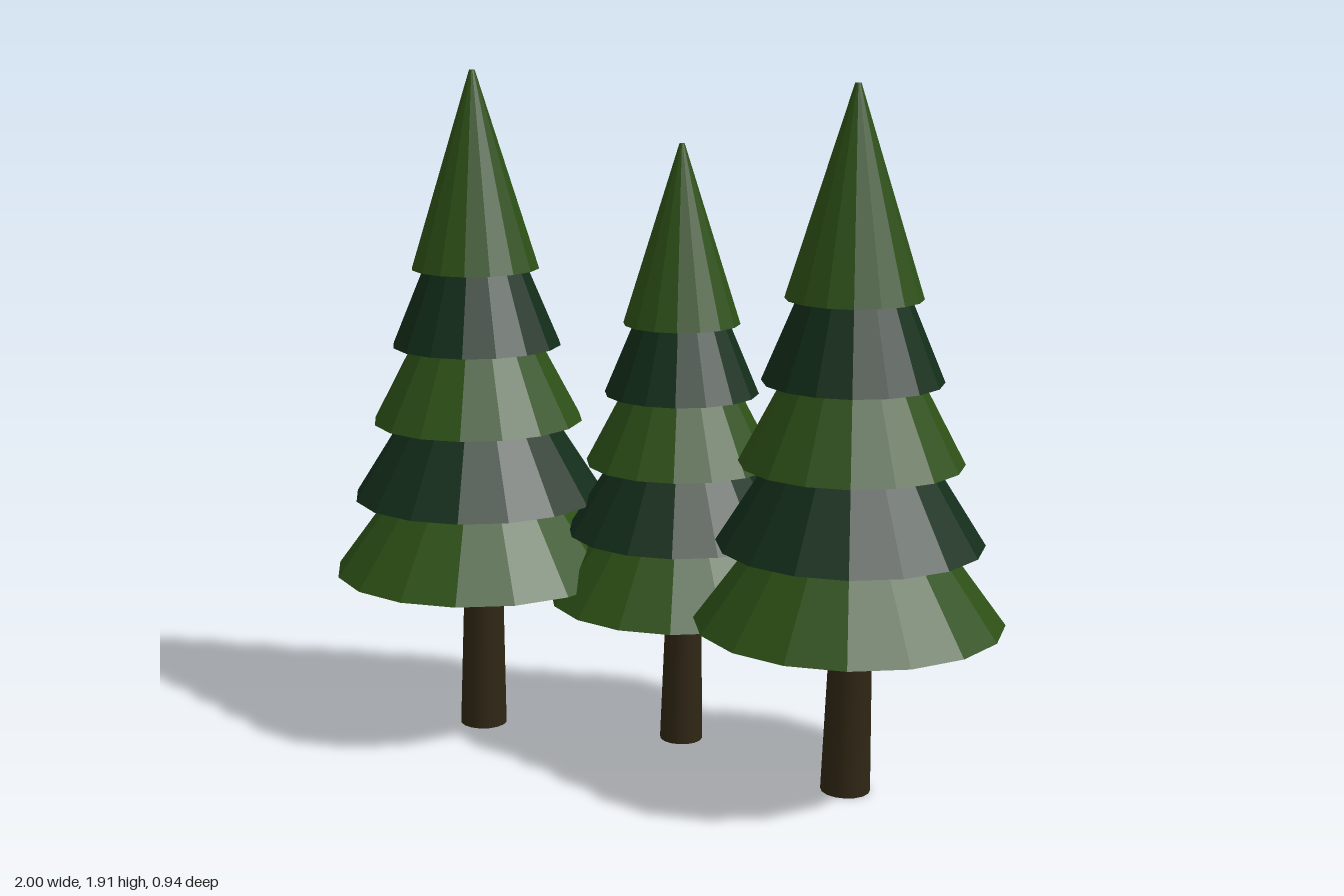
import * as THREE from 'three';

const SIDES = 16;
const TIER_HEIGHT = 0.555;

const material = (name, color, flatShading) => {
  const m = new THREE.MeshStandardMaterial({ color, flatShading });
  m.name = name;
  return m;
};

export function createModel() {
  const lightGreen = material('lightGreen', 0x2d5016, true);
  const darkGreen = material('darkGreen', 0x132e1a, true);
  const bark = material('bark', 0x2f2614, false);

  function makeTree(name, x, z, scale) {
    const tree = new THREE.Group();
    tree.name = name;

    // Tapered trunk with a very slight lean, reaching into the lowest tier
    const trunk = new THREE.Mesh(new THREE.CylinderGeometry(0.054, 0.068, 0.55, SIDES), bark);
    trunk.name = 'trunk';
    trunk.position.set(0.005, 0.276, 0);
    trunk.rotation.z = -0.02;
    tree.add(trunk);

    // Five overlapping closed cones in alternating greens
    for (let i = 0; i < 5; i++) {
      const tier = new THREE.Mesh(
        new THREE.CylinderGeometry(0.008, 0.418 - i * 0.059, TIER_HEIGHT, SIDES),
        i % 2 ? darkGreen : lightGreen
      );
      tier.name = `foliageTier${i + 1}`;
      tier.position.y = 0.48 + i * 0.219 + TIER_HEIGHT / 2;
      tree.add(tier);
    }

    tree.scale.setScalar(scale);
    tree.position.set(x, 0, z);
    return tree;
  }

  const model = new THREE.Group();
  model.name = 'pineTrees';
  model.add(
    makeTree('rightTree', -0.58, 0.05, 1),
    makeTree('middleTree', 0, -0.1, 0.9),
    makeTree('leftTree', 0.58, 0.05, 1)
  );
  return model;
}
